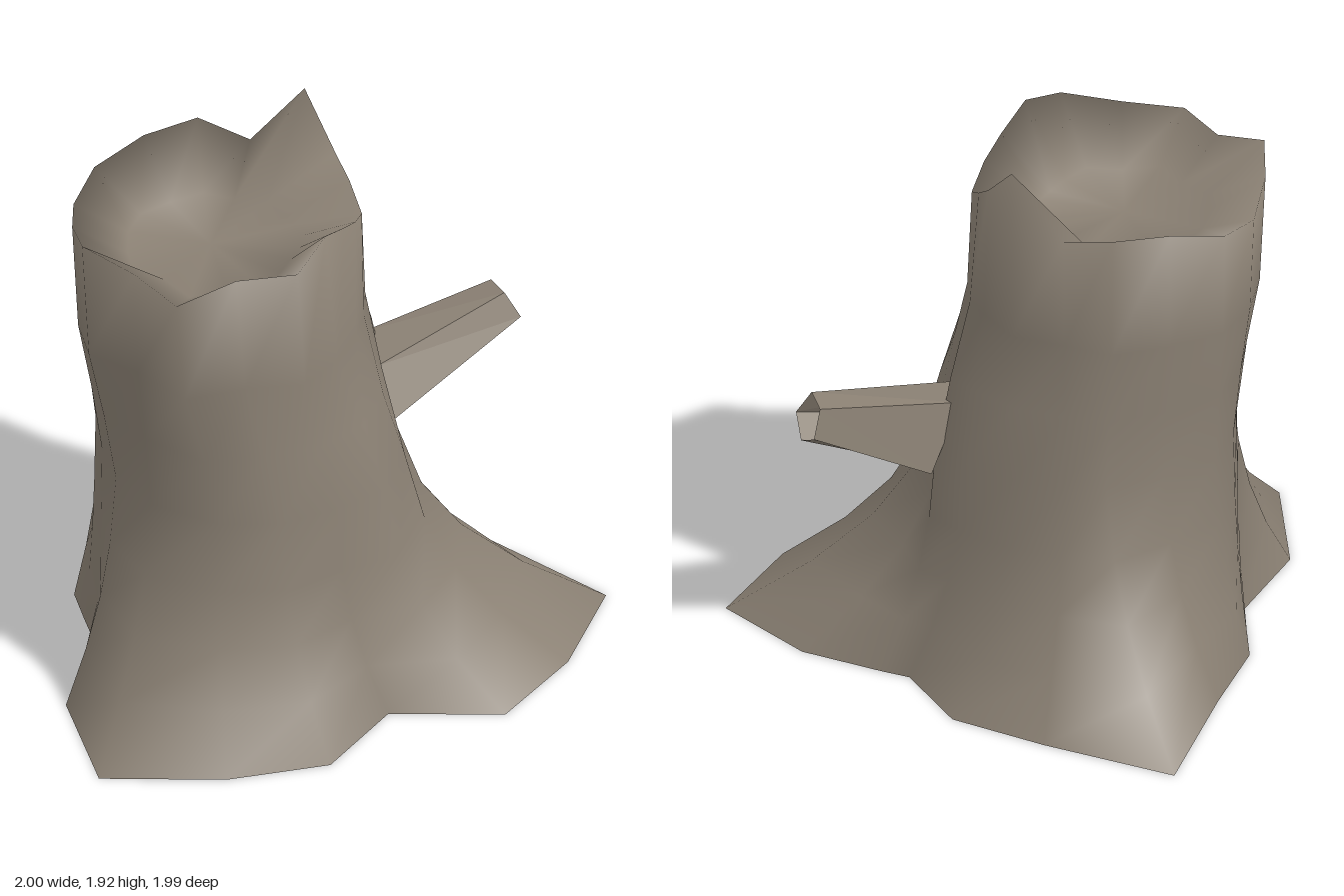
import * as THREE from 'three';

const bark = new THREE.MeshStandardMaterial({ color: 0x8a8073, side: THREE.DoubleSide });
bark.name = 'bark';

// Skin a list of rings (each an array of [x, y, z]) running counter-clockwise about their axis
function loft(name, rings, flat = false) {
  const n = rings[0].length;
  const index = [];
  for (let r = 0; r < rings.length - 1; r++) {
    for (let i = 0; i < n; i++) {
      const a = r * n + i, b = r * n + (i + 1) % n;
      index.push(a, b, b + n, a, b + n, a + n);
    }
  }
  let geo = new THREE.BufferGeometry();
  geo.setAttribute('position', new THREE.Float32BufferAttribute(rings.flat(2), 3));
  geo.setIndex(index);
  if (flat) geo = geo.toNonIndexed();
  geo.computeVertexNormals();
  const mesh = new THREE.Mesh(geo, bark);
  mesh.name = name;
  return mesh;
}

// Each column joins a ground point (x, z), a waist point (x, z) and a broken rim point (x, y, z)
const columns = [
  [0.02, -1, 0.03, -0.42, 0, 1.74, -0.4],
  [0.35, -0.65, 0.16, -0.36, 0.12, 1.69, -0.26],
  [0.57, -0.38, 0.29, -0.25, 0.26, 1.92, -0.14],
  [0.6, -0.07, 0.41, -0.1, 0.27, 1.76, 0.04],
  [0.67, 0, 0.47, 0.02, 0.27, 1.7, 0.13],
  [0.87, 0.22, 0.36, 0.17, 0.25, 1.64, 0.24],
  [1, 0.58, 0.33, 0.33, 0.17, 1.69, 0.33],
  [0.69, 0.84, 0.26, 0.5, 0.08, 1.74, 0.4],
  [0.35, 0.99, 0.1, 0.63, -0.04, 1.8, 0.48],
  [0.02, 0.78, -0.1, 0.64, -0.2, 1.75, 0.56],
  [-0.3, 0.93, -0.3, 0.62, -0.38, 1.73, 0.46],
  [-0.64, 0.82, -0.48, 0.51, -0.59, 1.68, 0.42],
  [-1, 0.59, -0.61, 0.29, -0.62, 1.69, 0.2],
  [-0.87, 0.17, -0.63, 0.1, -0.72, 1.74, 0.03],
  [-0.6, -0.08, -0.58, -0.07, -0.66, 1.7, -0.13],
  [-0.56, -0.21, -0.5, -0.24, -0.55, 1.65, -0.3],
  [-0.51, -0.36, -0.38, -0.38, -0.4, 1.68, -0.41],
  [-0.3, -0.6, -0.18, -0.42, -0.2, 1.73, -0.42],
].reverse();

// Heights with the blend from waist to ground below, and from waist to rim above
const rootLevels = [[0, 1], [0.18, 0.6], [0.36, 0.31], [0.55, 0.12], [0.8, 0]];
const upperLevels = [[1.05, 0.35], [1.3, 0.8]];

function createModel() {
  const group = new THREE.Group();
  group.name = 'treeStump';
  const mix = THREE.MathUtils.lerp;
  const cx = -0.22, cz = 0.04;

  // Flared shell, open underneath, closed by a sunken cut face that shares the jagged rim
  const rings = [
    ...rootLevels.map(([y, t]) => columns.map(([bx, bz, wx, wz]) => [mix(wx, bx, t), y, mix(wz, bz, t)])),
    ...upperLevels.map(([y, t]) => columns.map(([, , wx, wz, rx, , rz]) => [mix(wx, rx, t), y, mix(wz, rz, t)])),
    columns.map(([, , , , x, y, z]) => [x, y, z]),
    ...[0.6, 0].map(s => columns.map(([, , , , x, , z]) => [mix(cx, x, s), 1.57, mix(cz, z, s)])),
  ];
  group.add(loft('trunk', rings));

  // Faceted hollow branch stub
  group.add(loft('branchStub', [
    [[0.34, 0.95, 0.19], [0.35, 0.78, 0.28], [0.49, 0.69, 0.14], [0.5, 0.74, -0.02], [0.38, 0.97, 0.02]],
    [[0.86, 1.04, 0.16], [0.9, 0.95, 0.2], [0.91, 0.88, 0.13], [0.9, 0.93, 0.04], [0.87, 1.03, 0.06]],
  ], true));

  return group;
}

export { createModel };
